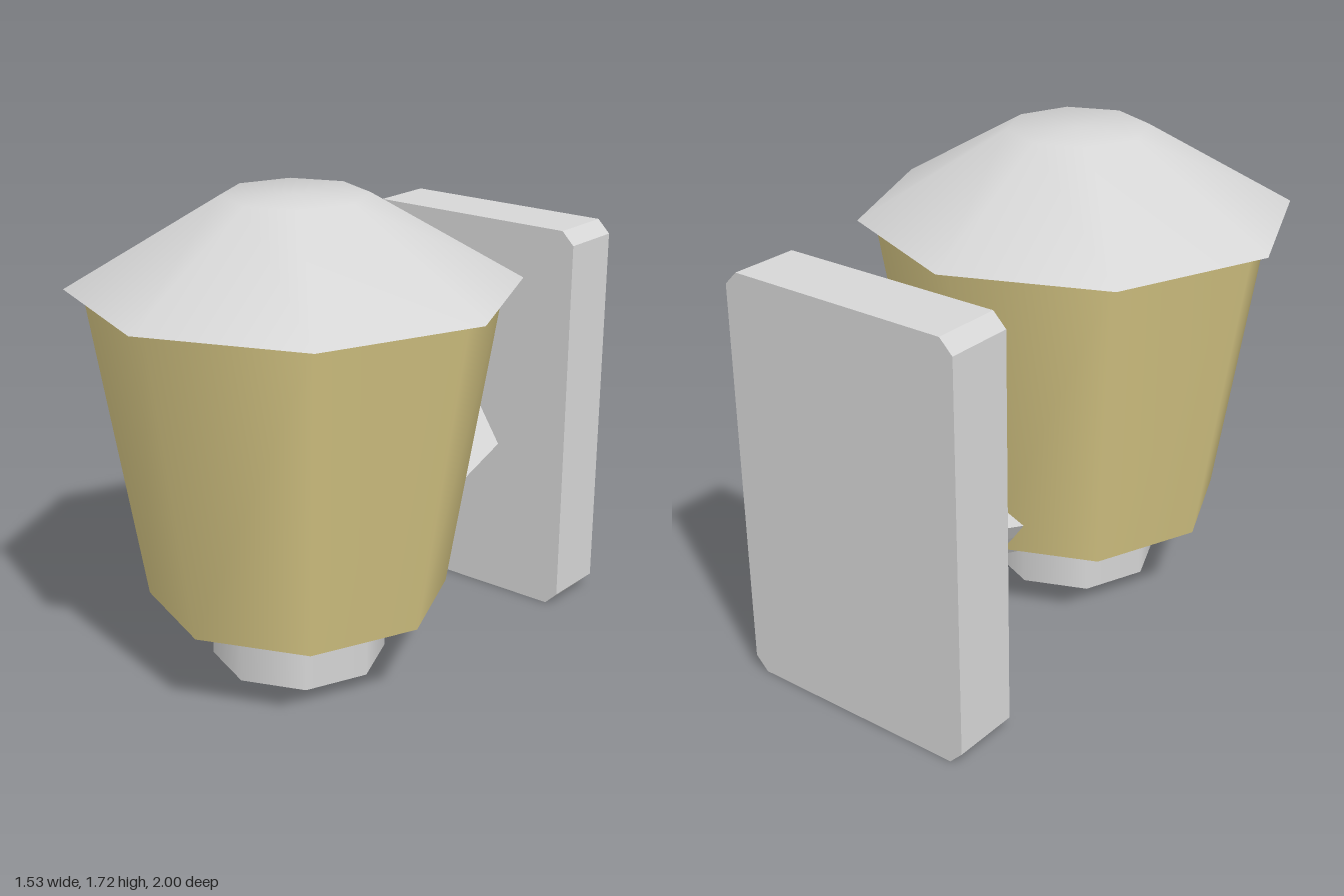
import * as THREE from 'three';

const SIDES = 8;
const LAMP_Z = 0.23;

export function createModel() {
  const model = new THREE.Group();
  model.name = 'wallLamp';

  const grey = new THREE.MeshStandardMaterial({ color: 0xd6d6d6, side: THREE.DoubleSide });
  grey.name = 'light grey metal';
  const yellow = new THREE.MeshStandardMaterial({ color: 0xd6c684, side: THREE.DoubleSide });
  yellow.name = 'pale yellow shade';

  const add = (parent, name, geometry, material, x = 0, y = 0, z = 0) => {
    const mesh = new THREE.Mesh(geometry, material);
    mesh.name = name;
    mesh.position.set(x, y, z);
    parent.add(mesh);
    return mesh;
  };

  // Octagonal lamp head
  const lamp = new THREE.Group();
  lamp.name = 'lampHead';
  lamp.position.z = LAMP_Z;
  model.add(lamp);

  // Roof: smooth slope running into the flat top, with a flat underside
  const roofProfile = [[0.765, 1.42], [0.247, 1.722], [0, 1.722]].map(([r, y]) => new THREE.Vector2(r, y));
  add(lamp, 'roof', new THREE.LatheGeometry(roofProfile, SIDES), grey);
  add(lamp, 'roofUnderside', new THREE.CircleGeometry(0.765, SIDES).rotateX(Math.PI / 2), grey, 0, 1.42);

  // Tapered shade, open below
  add(lamp, 'shade', new THREE.CylinderGeometry(0.705, 0.525, 1.11, SIDES, 1, true), yellow, 0, 0.865);

  // Collar under the shade, closed on top and open below
  add(lamp, 'collar', new THREE.CylinderGeometry(0.308, 0.308, 0.248, SIDES, 1, true), grey, 0, 0.188);
  add(lamp, 'collarTop', new THREE.CircleGeometry(0.308, SIDES).rotateX(-Math.PI / 2), grey, 0, 0.312);

  // Wall plate with chamfered corners
  const w = 0.458, h = 1.475, c = 0.048;
  const plate = new THREE.Shape([
    [-w + c, 0], [w - c, 0], [w, c], [w, h - c],
    [w - c, h], [-w + c, h], [-w, h - c], [-w, c],
  ].map(([x, y]) => new THREE.Vector2(x, y)));
  add(model, 'wallPlate', new THREE.ExtrudeGeometry(plate, { depth: 0.245, bevelEnabled: false }), grey, 0, 0, -1);

  // Sloping four-sided arm: corners in order top, left, bottom, right
  const back = [[0.055, 0.77, -0.756], [-0.135, 0.6, -0.756], [-0.025, 0.43, -0.756], [0.165, 0.6, -0.756]];
  const front = [[0.055, 0.475, 0.04], [-0.135, 0.335, 0], [-0.025, 0.2, -0.05], [0.165, 0.335, 0]];
  const positions = [];
  const quad = (a, b, d, e) => positions.push(...a, ...b, ...d, ...a, ...d, ...e);
  for (let i = 0; i < 4; i++) {
    const j = (i + 1) % 4;
    quad(front[i], back[i], back[j], front[j]);
  }
  quad(...front);
  const arm = new THREE.BufferGeometry();
  arm.setAttribute('position', new THREE.Float32BufferAttribute(positions, 3));
  arm.computeVertexNormals();
  add(model, 'arm', arm, grey);

  return model;
}
